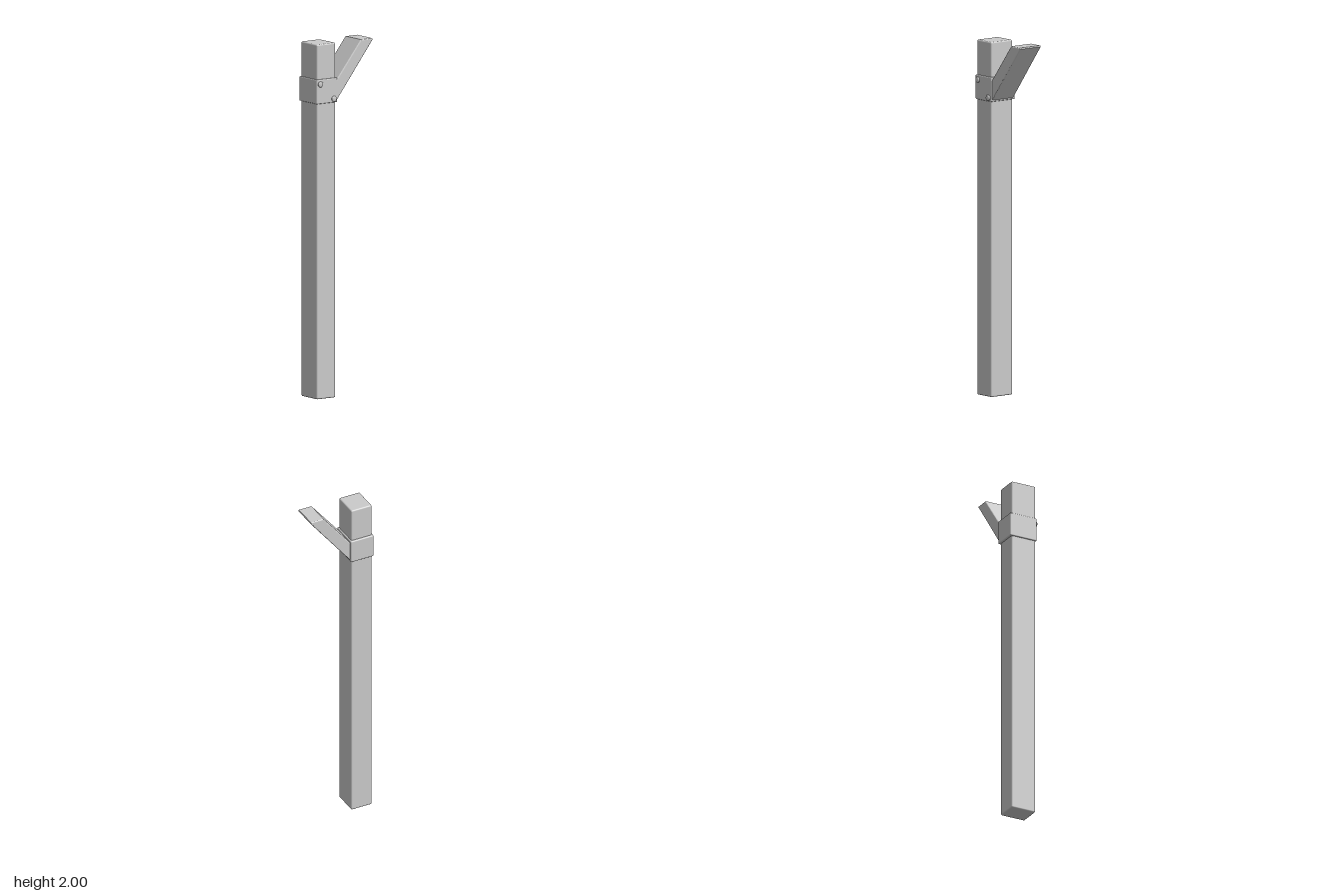
import * as THREE from 'three';
import { RoundedBoxGeometry } from 'three/addons/geometries/RoundedBoxGeometry.js';

const material = new THREE.MeshStandardMaterial({ color: 0xcccccc });

// Rounded box given by its minimum and maximum corners
function roundedBox(name, min, max, radius) {
  const [w, h, d] = max.map((v, i) => v - min[i]);
  const mesh = new THREE.Mesh(new RoundedBoxGeometry(w, h, d, 3, radius), material);
  mesh.position.set(...max.map((v, i) => (v + min[i]) / 2));
  mesh.name = name;
  return mesh;
}

export function createModel() {
  const group = new THREE.Group();
  group.name = 'bracedPost';

  // Upright timber and the collar wrapped around it
  group.add(roundedBox('post', [-0.19, 0, -0.078], [-0.061, 2, 0.073], 0.008));
  group.add(roundedBox('collar', [-0.196, 1.665, -0.09], [-0.053, 1.803, 0.079], 0.006));

  // Slanted brace: vertical cut against the collar, level cut at the top
  const outline = new THREE.Shape([
    [-0.058, 1.668], [0.195, 1.993], [0.192, 2], [0.113, 2], [-0.058, 1.785],
  ].map(([x, y]) => new THREE.Vector2(x, y)));
  const bevel = 0.006;
  const braceGeometry = new THREE.ExtrudeGeometry(outline, {
    depth: 0.151 - 2 * bevel,
    bevelThickness: bevel,
    bevelSize: bevel,
    bevelOffset: -bevel,
    bevelSegments: 3,
  });
  const brace = new THREE.Mesh(braceGeometry, material);
  brace.position.z = -0.078 + bevel;
  brace.name = 'brace';
  group.add(brace);

  // Two bolt heads on the front of the collar
  const headProfile = [[0.014, -0.004], [0.0165, 0.002], [0.0165, 0.005], [0.0145, 0.008], [0.01, 0.0095], [0, 0.01]]
    .map(([r, y]) => new THREE.Vector2(r, y));
  const headGeometry = new THREE.LatheGeometry(headProfile, 20);
  headGeometry.rotateX(Math.PI / 2);
  for (const [name, x, y] of [['upperBolt', -0.172, 1.776], ['lowerBolt', -0.079, 1.686]]) {
    const bolt = new THREE.Mesh(headGeometry, material);
    bolt.position.set(x, y, 0.079);
    bolt.name = name;
    group.add(bolt);
  }
  return group;
}
